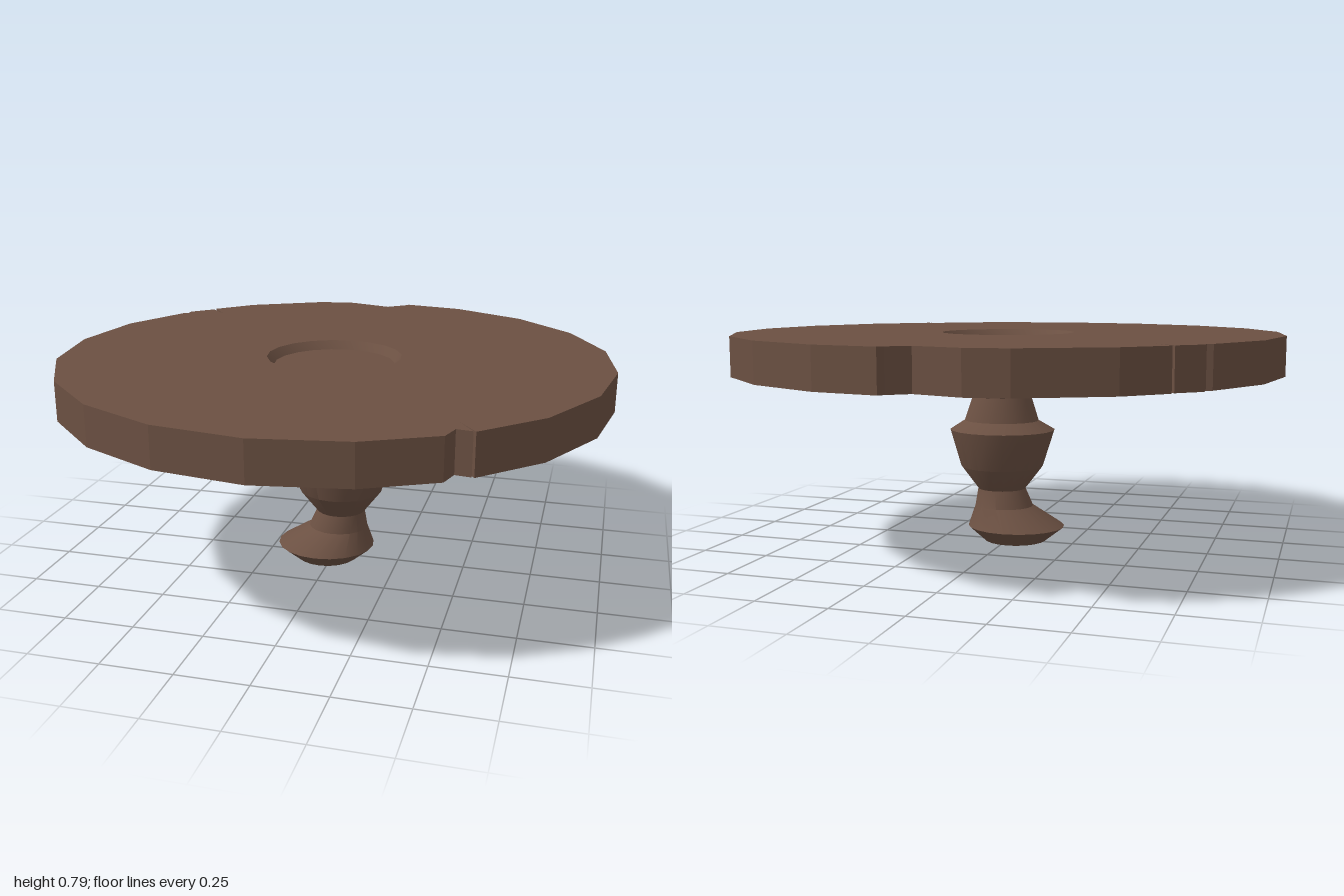
import * as THREE from 'three';
import { toCreasedNormals } from 'three/addons/utils/BufferGeometryUtils.js';

const SIDES = 20, BOTTOM = 0.645, TOP = 0.785, DISH = 0.245;

// Points of a regular polygon in plan, as [x, z]
const ringPoint = (k, r) => {
  const a = (k / SIDES) * Math.PI * 2;
  return [Math.sin(a) * r, Math.cos(a) * r];
};
const toShape = (p) => new THREE.Vector2(p[0], -p[1]);

// Worn spots that replace a corner of the rim
const chips = {
  2: [[0.54, 0.83], [0.56, 0.76], [0.612, 0.768], [0.56, 0.69], [0.62, 0.77]],
  10: [[0.08, -0.995], [0.065, -0.975], [0, -0.925], [-0.17, -0.975]],
  13: [[-0.717, -0.69], [-0.65, -0.6], [-0.722, -0.675], [-0.8, -0.605], [-0.8, -0.57], [-0.82, -0.565]],
};

// Leg sections: y, xMin, xMax, zMin, zMax
const legRings = [
  [0.0, -0.14, 0.09, -0.10, 0.125],
  [0.055, -0.21, 0.155, -0.155, 0.185],
  [0.13, -0.09, 0.13, -0.09, 0.115],
  [0.195, -0.06, 0.12, -0.07, 0.10],
  [0.28, -0.125, 0.185, -0.13, 0.165],
  [0.42, -0.17, 0.225, -0.17, 0.20],
  [0.455, -0.11, 0.17, -0.115, 0.14],
  [0.545, -0.08, 0.14, -0.09, 0.125],
  [0.605, -0.14, 0.20, -0.175, 0.16],
  [0.645, -0.14, 0.20, -0.175, 0.16],
];

function legGeometry() {
  const pos = [], index = [];
  for (const [y, x0, x1, z0, z1] of legRings) {
    for (let k = 0; k < SIDES; k++) {
      const [s, c] = ringPoint(k, 0.5);
      pos.push((x0 + x1) / 2 + s * (x1 - x0), y, (z0 + z1) / 2 + c * (z1 - z0));
    }
  }
  for (let i = 0; i < legRings.length - 1; i++) {
    for (let k = 0; k < SIDES; k++) {
      const a = i * SIDES + k, b = i * SIDES + ((k + 1) % SIDES);
      index.push(a, b, b + SIDES, a, b + SIDES, a + SIDES);
    }
  }
  // flat foot
  for (let k = 1; k < SIDES - 1; k++) index.push(0, k + 1, k);
  const g = new THREE.BufferGeometry();
  g.setAttribute('position', new THREE.Float32BufferAttribute(pos, 3));
  g.setIndex(index);
  return toCreasedNormals(g, 0.4);
}

export function createModel() {
  const model = new THREE.Group();
  model.name = 'pedestalTable';
  const wood = new THREE.MeshStandardMaterial({ color: 0x6b5042 });
  const add = (name, geometry, parent = model) => {
    const mesh = new THREE.Mesh(geometry, wood);
    mesh.name = name;
    parent.add(mesh);
  };

  const top = new THREE.Group();
  top.name = 'tableTop';
  model.add(top);

  // Chipped slab with a round opening for the dish
  const outline = [], hole = [];
  for (let k = 0; k < SIDES; k++) {
    outline.push(...(chips[k] || [ringPoint(k, 1).map((v, i) => v - i * 0.005)]));
    hole.push(ringPoint(k, DISH));
  }
  const shape = new THREE.Shape(outline.map(toShape));
  shape.holes.push(new THREE.Path(hole.map(toShape)));
  const slab = new THREE.ExtrudeGeometry(shape, { depth: TOP - BOTTOM, bevelEnabled: false });
  slab.rotateX(-Math.PI / 2).translate(0, BOTTOM, 0);
  add('slab', slab, top);

  // Shallow dish in the middle, and the underside that closes the opening
  const lathe = (pts) =>
    toCreasedNormals(new THREE.LatheGeometry(pts.map((p) => new THREE.Vector2(...p)), SIDES), 0.4);
  add('dish', lathe([[DISH, TOP], [0.22, TOP - 0.03], [0, TOP - 0.03]]), top);
  add('underside', lathe([[0, BOTTOM], [DISH, BOTTOM]]), top);

  // Turned leg, slightly crooked
  add('leg', legGeometry());
  return model;
}
